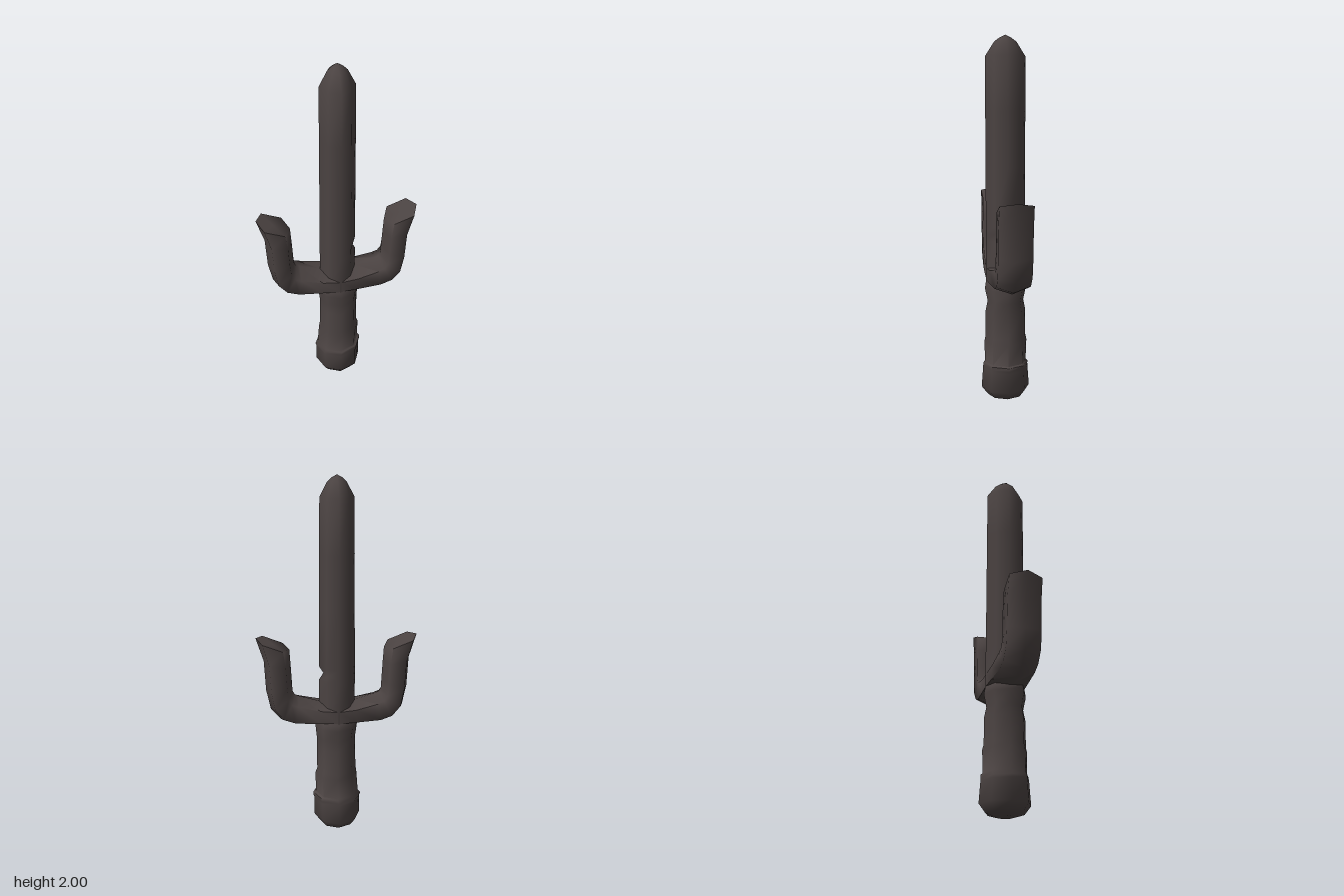
import * as THREE from 'three';
import { toCreasedNormals } from 'three/addons/utils/BufferGeometryUtils.js';

// Skins a list of closed rings of points and closes both ends with a fan.
function loft(rings) {
  const n = rings[0].length, last = rings.length - 1;
  const points = rings.flat(), index = [];
  for (let i = 0; i < last; i++) {
    for (let j = 0; j < n; j++) {
      const a = i * n + j, b = i * n + (j + 1) % n;
      index.push(a, a + n, b, b, a + n, b + n);
    }
  }
  const centre = ring => ring.reduce((s, p) => s.add(p), new THREE.Vector3()).divideScalar(n);
  const start = points.push(centre(rings[0])) - 1;
  const end = points.push(centre(rings[last])) - 1;
  for (let j = 0; j < n; j++) {
    const k = (j + 1) % n;
    index.push(start, j, k, end, last * n + k, last * n + j);
  }
  const geometry = new THREE.BufferGeometry().setFromPoints(points);
  geometry.setIndex(index);
  return toCreasedNormals(geometry, 1.3);
}

// Eight-sided upright ring; corner sets how full the diagonals are.
function uprightRing([y, rx, rz, dx = 0], corner) {
  const c = corner;
  return [[1, 0], [c, c], [0, 1], [-c, c], [-1, 0], [-c, -c], [0, -1], [c, -c]]
    .map(([x, z]) => new THREE.Vector3(x * rx + dx, y, z * rz));
}

// Six-sided guard ring between its outer and inner edge points.
function guardRing([ox, oy, ix, iy, rz]) {
  return [[1, 0], [0.6, 1], [-0.6, 1], [-1, 0], [-0.6, -1], [0.6, -1]].map(([u, w]) =>
    new THREE.Vector3((ox + ix) / 2 + u * (ox - ix) / 2, (oy + iy) / 2 + u * (oy - iy) / 2, w * rz));
}

export function createModel() {
  const model = new THREE.Group();
  const iron = new THREE.MeshStandardMaterial({ color: 0x4b4342 });
  iron.name = 'darkIron';
  const add = (name, rings) => {
    const mesh = new THREE.Mesh(loft(rings), iron);
    mesh.name = name;
    model.add(mesh);
  };

  // Wrapped grip with a flared, rounded pommel: y, half width, half depth, x shift
  add('grip', [
    [0, 0.05, 0.05], [0.015, 0.1, 0.1], [0.06, 0.132, 0.135], [0.17, 0.132, 0.127],
    [0.185, 0.137, 0.126], [0.205, 0.13, 0.125, 0.008], [0.21, 0.122, 0.116],
    [0.33, 0.119, 0.119, 0.006], [0.36, 0.111, 0.112, 0.003], [0.5, 0.109, 0.112, 0.005],
    [0.56, 0.11, 0.1, 0.005], [0.63, 0.118, 0.115, 0.004], [0.66, 0.113, 0.11], [0.7, 0.09, 0.1],
  ].map(r => uprightRing(r, 0.7)));

  // Blunt blade with a worn nick in its left edge
  const blade = [
    [0.66, 0.1, 0.108], [0.9, 0.1, 0.108], [0.94, 0.1, 0.108], [0.98, 0.1, 0.108],
    [1.3, 0.096, 0.108], [1.6, 0.094, 0.109], [1.89, 0.09, 0.108],
    [1.965, 0.05, 0.06], [1.985, 0.028, 0.032], [2, 0.001, 0.001],
  ].map(r => uprightRing(r, 0.63));
  blade[2][0].x = 0.075;
  add('blade', blade);

  // Guard sweeping out into two upturned prongs: outer x, y, inner x, y, half depth
  const half = [
    [0, 0.65, 0, 0.765, 0.105], [0.1, 0.652, 0.1, 0.775, 0.1], [0.24, 0.65, 0.215, 0.81, 0.092],
    [0.315, 0.675, 0.235, 0.82, 0.09], [0.37, 0.74, 0.247, 0.84, 0.09],
    [0.392, 0.85, 0.25, 0.9, 0.09], [0.4, 1.02, 0.255, 1.0, 0.09], [0.44, 1.15, 0.26, 1.08, 0.088],
  ];
  const mirrored = half.slice(1).reverse().map(([ox, oy, ix, iy, rz]) => [-ox, oy, -ix, iy, rz]);
  add('guard', [...mirrored, ...half].map(guardRing));

  return model;
}
